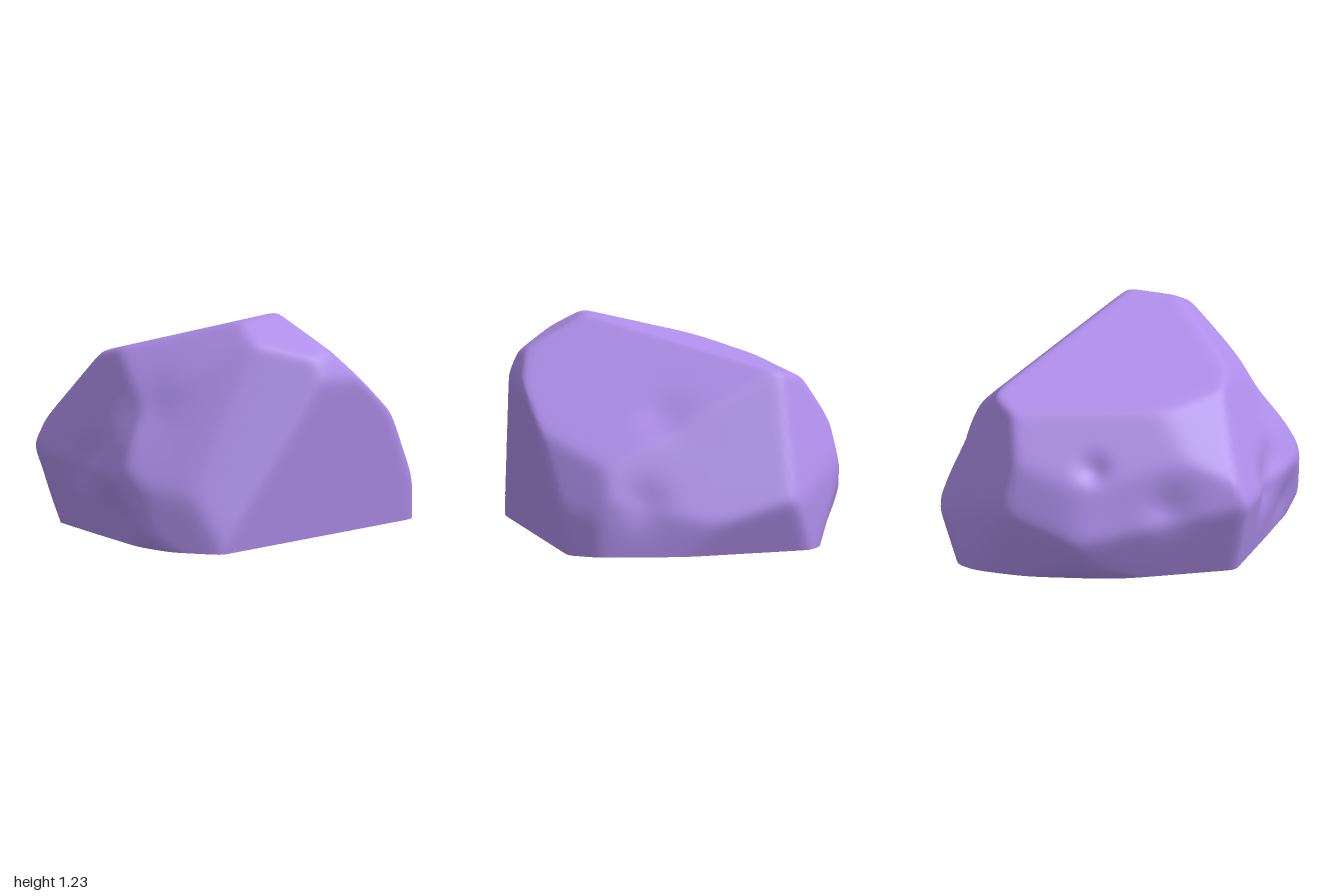
import * as THREE from 'three';
import { mergeVertices } from 'three/addons/utils/BufferGeometryUtils.js';

const SOFTNESS = 0.011; // how rounded the ridges between facets are

// Flat facets that cut the boulder out of solid rock:
// [heading from the front towards +x, upward tilt, distance from the base centre]
const FACETS = [
  // top slope, and the chamfers beside the peak
  [-90, 73.7, 1.058], [70.4, 61.1, 1.301], [88.8, 24.2, 1.18], [6.5, 47, 1.137],
  // +x side with its front and back corners
  [86, -8.8, 0.742], [48.1, 19, 1.018], [135.5, 18.9, 1.082], [135, 0, 1.065],
  // front, upper then lower
  [25.9, 26.5, 1.045], [-18.5, 23.6, 0.998],
  [5.4, 3.6, 1.025], [23.7, 5.5, 1.033], [-2.9, -38.3, 0.725], [-20.7, -14, 0.79],
  // -x side: upper chamfers, bulge, undercuts
  [-90, 33.7, 1.007], [-67.2, 40.1, 1.082],
  [-85.1, 12.6, 0.915], [-99.8, 11.9, 0.967],
  [-79.3, -18.5, 0.715], [-110, -15, 0.84], [-95, -48, 0.515],
  // back, upper then lower
  [152.3, 47, 1.017], [171.4, 24.4, 0.98], [-143.5, 19.3, 1.106],
  [165, 0, 0.98], [-135, 0, 1.03], [-176.6, -17.4, 0.905],
];

// Chips and swellings: centre, size, amount (negative goes inwards)
const CHIPS = [
  [[-0.35, 0.4, 0.8], 0.13, -0.06],
  [[-0.22, 0.5, 0.84], 0.1, -0.03],
  [[0.08, 0.8, 0.8], 0.2, -0.04],
  [[-0.03, 0.16, 0.94], 0.12, -0.025],
  [[-0.77, 0.66, -0.17], 0.08, -0.04],
  [[-0.82, 0.45, 0.25], 0.13, -0.04],
  [[-0.9, 0.25, -0.23], 0.18, 0.02],
  [[0.43, 0.3, -0.9], 0.13, -0.035],
  [[0.25, 0.8, -0.7], 0.14, -0.025],
].map(([centre, size, amount]) => ({ centre: new THREE.Vector3(...centre), size, amount }));

// Outward plane of one facet
function facetPlane([heading, tilt, distance]) {
  const normal = new THREE.Vector3().setFromSphericalCoords(
    1, THREE.MathUtils.degToRad(90 - tilt), THREE.MathUtils.degToRad(heading));
  return new THREE.Plane(normal, -distance);
}

// Softly blended signed distance to all facets
function blendedDistance(planes, p) {
  let sum = 0;
  for (const plane of planes) sum += Math.exp(plane.distanceToPoint(p) / SOFTNESS);
  return SOFTNESS * Math.log(sum);
}

// Surface point along a direction from the middle of the base
function surfacePoint(planes, dir) {
  let near = 0, far = 2;
  const p = new THREE.Vector3();
  for (let i = 0; i < 24; i++) {
    const mid = (near + far) / 2;
    if (blendedDistance(planes, p.copy(dir).multiplyScalar(mid)) > 0) far = mid;
    else near = mid;
  }
  let radius = near;
  for (const { centre, size, amount } of CHIPS) {
    radius += amount * Math.exp(-((p.distanceTo(centre) / size) ** 2));
  }
  return p.copy(dir).multiplyScalar(radius);
}

// Hemisphere whose vertices are moved onto the faceted surface
function bodyGeometry() {
  const dome = new THREE.SphereGeometry(1, 192, 96, 0, Math.PI * 2, 0, Math.PI / 2);
  dome.deleteAttribute('normal');
  dome.deleteAttribute('uv');
  const geometry = mergeVertices(dome, 1e-5);
  const planes = FACETS.map(facetPlane);
  const pos = geometry.attributes.position;
  const dir = new THREE.Vector3();
  for (let i = 0; i < pos.count; i++) {
    dir.fromBufferAttribute(pos, i);
    if (dir.y < 1e-6) dir.y = 0; // keep the rim exactly on the ground
    const p = surfacePoint(planes, dir.normalize());
    pos.setXYZ(i, p.x, p.y, p.z);
  }
  geometry.computeVertexNormals();
  return geometry;
}

// Flat underside following the rim of the body
function undersideGeometry(body) {
  const pos = body.attributes.position;
  const rim = [];
  for (let i = 0; i < pos.count; i++) {
    if (pos.getY(i) === 0) rim.push(new THREE.Vector2(pos.getX(i), pos.getZ(i)));
  }
  rim.sort((a, b) => a.angle() - b.angle());
  return new THREE.ShapeGeometry(new THREE.Shape(rim)).rotateX(Math.PI / 2);
}

export function createModel() {
  const group = new THREE.Group();
  group.name = 'boulder';
  const material = new THREE.MeshStandardMaterial({ color: 0xaf8feb });

  const body = new THREE.Mesh(bodyGeometry(), material);
  body.name = 'rockBody';
  const underside = new THREE.Mesh(undersideGeometry(body.geometry), material);
  underside.name = 'underside';

  group.add(body, underside);
  return group;
}
